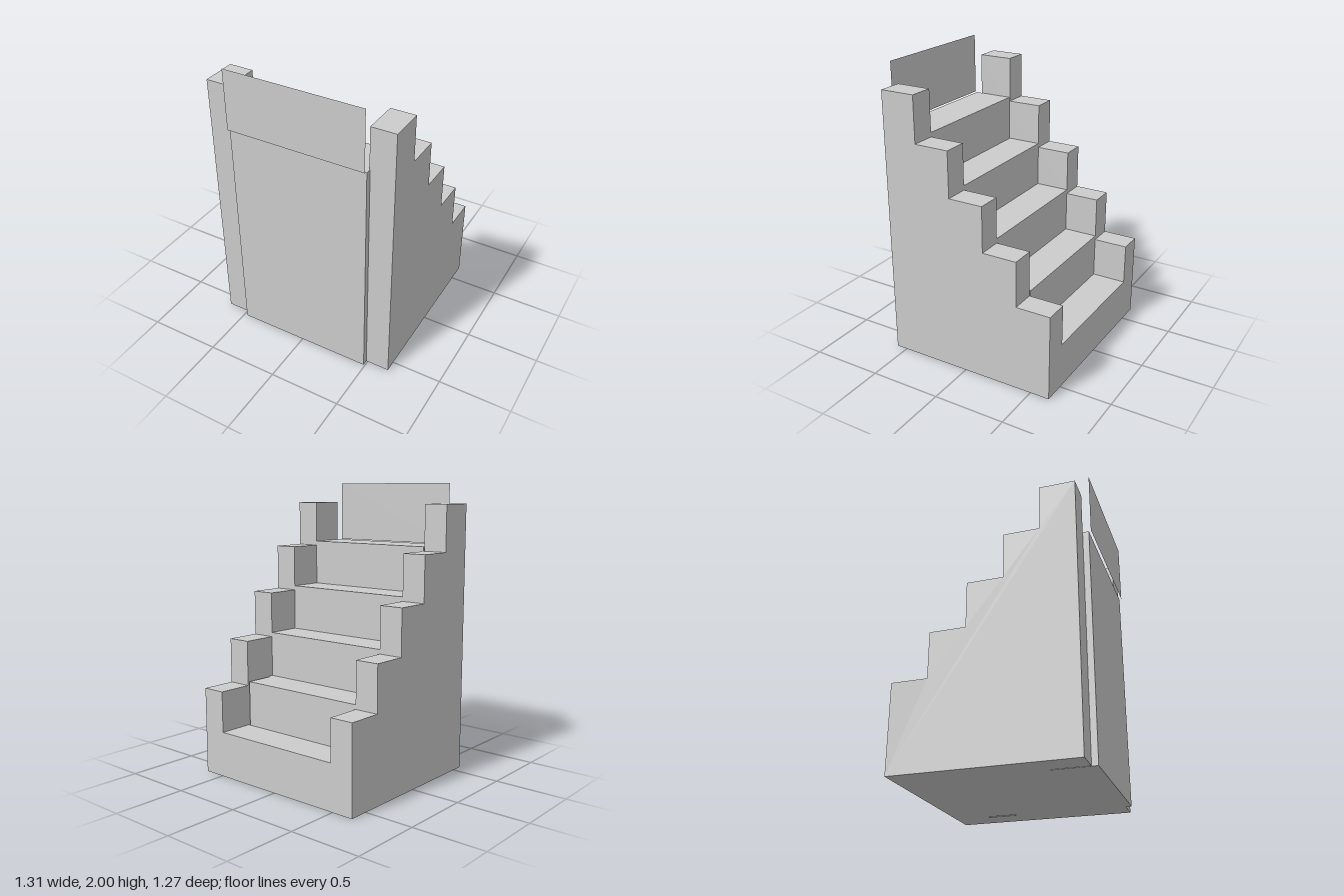
import * as THREE from 'three';

const STEPS = 5, RUN = 0.243, RISE = 0.315;
const BACK = -0.635, INNER = 0.485, OUTER = 0.655;
const WALL_BASE = 0.6;

export function createModel() {
  const group = new THREE.Group();
  const material = new THREE.MeshStandardMaterial({ color: 0xcccccc, flatShading: true });

  const add = (name, geometry, mat = material) => {
    const mesh = new THREE.Mesh(geometry, mat);
    mesh.name = name;
    group.add(mesh);
    return mesh;
  };

  // Solid block standing on the ground
  const block = (name, x0, x1, z0, z1, height) => {
    const geometry = new THREE.BoxGeometry(x1 - x0, height, z1 - z0);
    geometry.translate((x0 + x1) / 2, height / 2, (z0 + z1) / 2);
    return add(name, geometry);
  };

  // Stepped side walls: profile drawn in (z, y), extruded across x
  const profile = new THREE.Shape();
  profile.moveTo(BACK, 0);
  profile.lineTo(BACK + STEPS * RUN, 0);
  for (let i = STEPS - 1; i >= 0; i--) {
    const top = WALL_BASE + i * RISE;
    profile.lineTo(BACK + (i + 1) * RUN, top);
    profile.lineTo(BACK + i * RUN, top);
  }
  profile.closePath();
  const wallWidth = OUTER - INNER;
  for (const [name, outerX] of [['leftWall', OUTER], ['rightWall', -INNER]]) {
    const wall = new THREE.ExtrudeGeometry(profile, { depth: wallWidth, bevelEnabled: false });
    wall.rotateY(-Math.PI / 2);
    wall.translate(outerX, 0, 0);
    add(name, wall);
  }

  // Stairs rising from the back to the front, with small gaps beside two steps
  for (let i = 0; i < STEPS; i++) {
    const z0 = BACK + i * RUN;
    const last = i === STEPS - 1;
    const x0 = last ? -0.478 : -INNER;
    const x1 = last ? 0.49 : i === 1 ? 0.47 : INNER;
    const z1 = last ? 0.62 : z0 + RUN;
    block('step' + (i + 1), x0, x1, z0, z1, (i + 1) * RISE);
  }
  // Filler closing the end of the gap beside the second step
  block('stepFiller', 0.47, INNER, -0.19, BACK + 2 * RUN, 2 * RISE);

  // Thin upright board above the top step
  const boardBottom = 1.578, boardTop = 2;
  const board = new THREE.PlaneGeometry(2 * INNER, boardTop - boardBottom);
  board.translate(0, (boardTop + boardBottom) / 2, 0.635);
  const boardMaterial = material.clone();
  boardMaterial.side = THREE.DoubleSide;
  add('headBoard', board, boardMaterial);

  return group;
}
